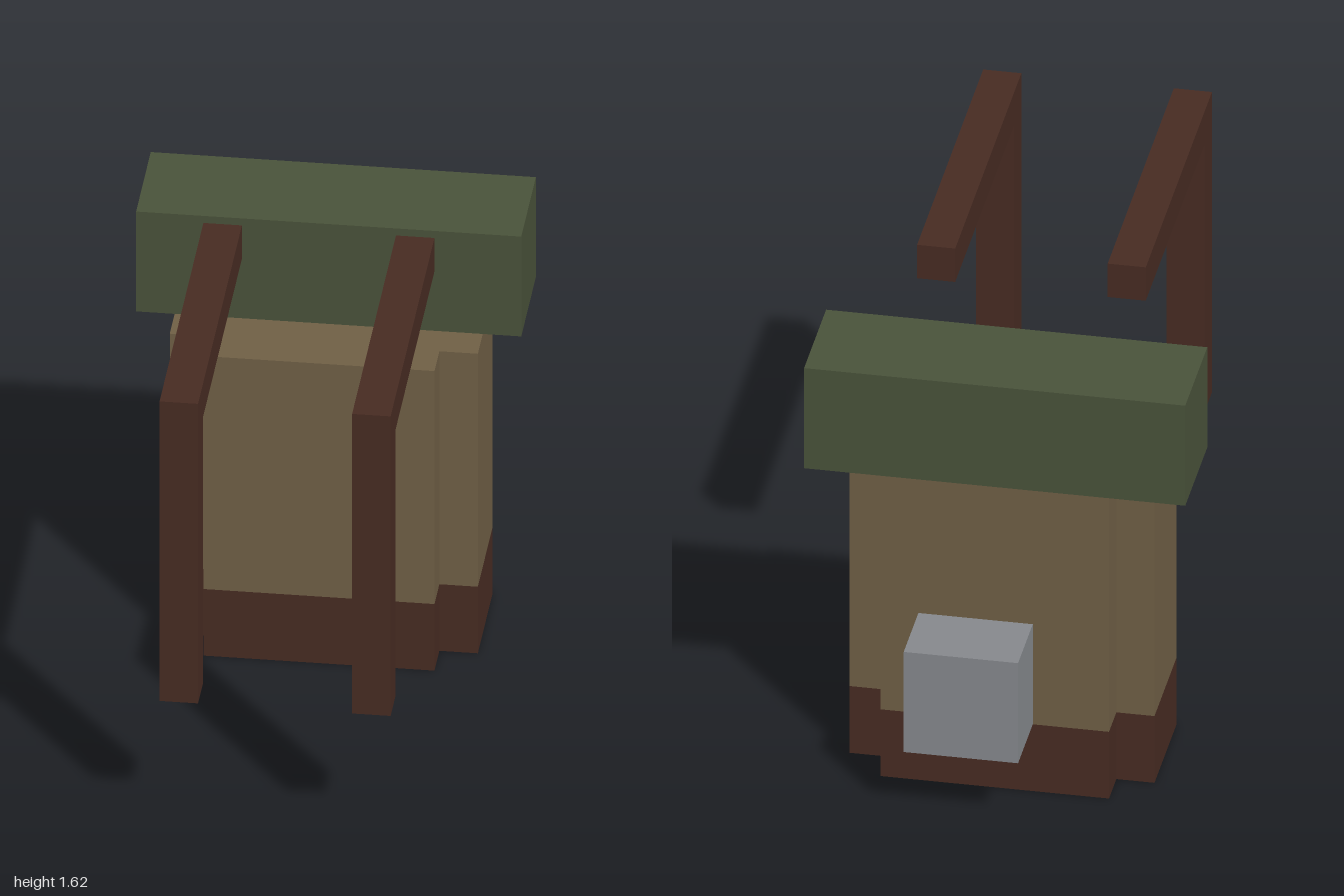
import * as THREE from 'three';

const material = (name, color) => {
  const m = new THREE.MeshStandardMaterial({ color });
  m.name = name;
  return m;
};

const shapeFrom = (points) => new THREE.Shape(points.map(([x, y]) => new THREE.Vector2(x, y)));

const extrude = (points, depth) =>
  new THREE.ExtrudeGeometry(shapeFrom(points), { depth, bevelEnabled: false });

export function createModel() {
  const group = new THREE.Group();
  const leather = material('dark brown leather', 0x472b22);
  const canvas = material('tan canvas', 0x6f5f45);
  const cloth = material('green cloth', 0x49523a);
  const metal = material('grey metal', 0x85888c);

  const add = (name, geometry, mat) => {
    const mesh = new THREE.Mesh(geometry, mat);
    mesh.name = name;
    group.add(mesh);
    return mesh;
  };

  // Box given by its minimum and maximum corners
  const box = (name, min, max, mat) => {
    const size = max.map((v, i) => v - min[i]);
    const mesh = add(name, new THREE.BoxGeometry(...size), mat);
    mesh.position.set(...max.map((v, i) => (v + min[i]) / 2));
  };

  // Pack body: footprint with notched corners (second value is -z)
  const right = [[0.375, 0.125], [0.375, 0.25], [0.5, 0.25], [0.5, 0.625], [0.375, 0.625], [0.375, 0.75]];
  const footprint = [...right, ...right.map(([x, z]) => [-x, z]).reverse()];
  const slab = (name, y0, y1, mat) => {
    const mesh = add(name, extrude(footprint, y1 - y0).rotateX(-Math.PI / 2), mat);
    mesh.position.y = y0;
  };
  slab('packBase', 0, 0.25, leather);
  slab('packBody', 0.25, 1.125, canvas);

  // Bedroll on top and canteen at the back
  box('bedroll', [-0.625, 1.125, -0.75], [0.625, 1.5, -0.375], cloth);
  box('canteen', [-0.125, 0.25, -1], [0.25, 0.625, -0.75], metal);

  // Shoulder straps: L-shaped side profile (z, y)
  const profile = [[-0.125, 1.5], [0.875, 1.5], [0.875, 0.5], [1, 0.5], [1, 1.625], [-0.125, 1.625]];
  for (const [name, outerX] of [['leftStrap', 0.375], ['rightStrap', -0.25]]) {
    add(name, extrude(profile, 0.125).rotateY(-Math.PI / 2), leather).position.x = outerX;
  }

  return group;
}
